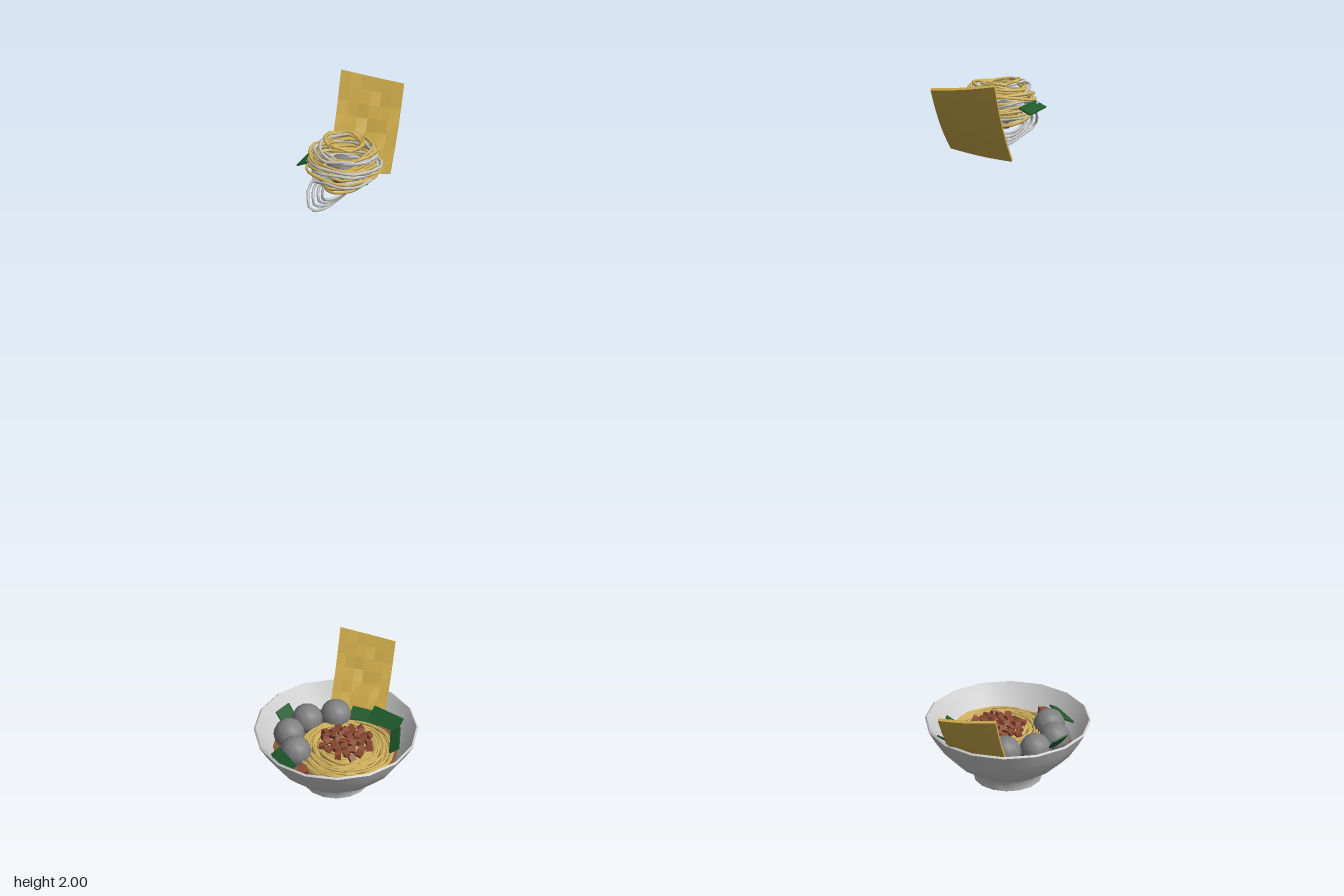
import * as THREE from 'three';
import { toCreasedNormals } from 'three/addons/utils/BufferGeometryUtils.js';

const mat = (color, extra = {}) => new THREE.MeshStandardMaterial({ color, ...extra });
const grey = mat(0xcccccc);
const darkGrey = mat(0x808080);
const noodleYellow = mat(0xd8b860);
const crispYellow = mat(0xcfac4a, { flatShading: true });
const leafGreen = mat(0x1f5a2c, { flatShading: true });
const meatBrown = mat(0x8c4a34, { flatShading: true });
const brothBrown = mat(0x8a5a3c);

// Seeded generator so every strand is repeatable
let seed = 7;
const rnd = (a = 0, b = 1) => {
  seed = (seed * 16807) % 2147483647;
  return a + (b - a) * (seed / 2147483647);
};

function add(parent, name, geometry, material, pos = [0, 0, 0], rot = [0, 0, 0]) {
  const mesh = new THREE.Mesh(geometry, material);
  mesh.name = name;
  mesh.position.set(...pos);
  mesh.rotation.set(...rot);
  parent.add(mesh);
  return mesh;
}

// One coiled noodle: a wobbling loop with an optional tilt and radius change
function strand(parent, name, material, o) {
  const pts = [];
  const start = rnd(0, Math.PI * 2);
  const tiltDir = rnd(0, Math.PI * 2);
  const steps = Math.round(o.turns * 12);
  for (let i = 0; i <= steps; i++) {
    const t = i / steps;
    const a = start + t * o.turns * Math.PI * 2;
    const r = (o.r0 + (o.r1 - o.r0) * t) * rnd(0.95, 1.05);
    const y = o.y + Math.sin(a + tiltDir) * o.tilt + rnd(-1, 1) * o.wobble;
    pts.push(new THREE.Vector3(o.x + Math.cos(a) * r, y, o.z + Math.sin(a) * r));
  }
  const curve = new THREE.CatmullRomCurve3(pts);
  add(parent, name, new THREE.TubeGeometry(curve, steps * 2, 0.0037, 5), material);
}

// Bowl with foot ring, flared wall and inner lining
function bowl() {
  const profile = [
    [0, 0.015], [0.08, 0.015], [0.086, 0.003], [0.095, 0.003], [0.097, 0.027], [0.112, 0.04],
    [0.15, 0.066], [0.183, 0.1], [0.208, 0.138], [0.228, 0.174], [0.223, 0.178],
    [0.2, 0.146], [0.175, 0.112], [0.14, 0.078], [0.09, 0.052], [0, 0.045],
  ].map(([x, y]) => new THREE.Vector2(x, y));
  return toCreasedNormals(new THREE.LatheGeometry(profile, 16), 0.9);
}

// Crisp sheet stretched between four corners, bowed and blistered on its face
function crispSheet() {
  const v = (x, y, z) => new THREE.Vector3(x, y, z);
  const tl = v(0.018, 0.315, -0.256), tr = v(0.172, 0.295, -0.212);
  const bl = v(-0.018, 0.1, -0.125), br = v(0.135, 0.118, -0.072);
  const normal = tr.clone().sub(tl).cross(tl.clone().sub(bl)).normalize();
  const geo = new THREE.BoxGeometry(1, 1, 1, 6, 7, 1);
  const p = geo.attributes.position;
  for (let i = 0; i < p.count; i++) {
    const u = p.getX(i) + 0.5, w = p.getY(i) + 0.5, front = p.getZ(i) > 0;
    const q = bl.clone().lerp(br, u).lerp(tl.clone().lerp(tr, u), w);
    const inside = Math.sin(Math.PI * u) * Math.sin(Math.PI * w);
    const blister = front ? inside * 0.006 * Math.sin(u * 11 + w * 4) * Math.sin(w * 13 - u * 3) : 0;
    const bow = -0.012 * Math.sin(Math.PI * w) - 0.004 * Math.sin(Math.PI * u);
    q.addScaledVector(normal, bow + blister + (front ? 0.004 : -0.004));
    p.setXYZ(i, q.x, q.y, q.z);
  }
  geo.computeVertexNormals();
  return geo;
}

export function createModel() {
  const model = new THREE.Group();
  model.name = 'noodleBowl';

  // Bowl and broth
  const dish = new THREE.Group();
  dish.name = 'dish';
  dish.position.z = 0.029;
  add(dish, 'bowl', bowl(), grey);
  add(dish, 'broth', new THREE.CircleGeometry(0.176, 16), brothBrown, [0, 0.113, 0], [-Math.PI / 2, 0, 0]);
  model.add(dish);

  // Noodles lying in the broth, piled higher towards the middle
  const noodles = new THREE.Group();
  noodles.name = 'bowlNoodles';
  for (let i = 0; i < 24; i++) {
    const r = 0.03 + 0.104 * (i / 23);
    strand(noodles, 'bowlNoodle', noodleYellow, {
      x: 0.024 + rnd(-0.006, 0.006), z: 0.058 + rnd(-0.006, 0.006),
      y: 0.138 - 0.016 * (i / 23), r0: r, r1: r * rnd(0.85, 1),
      turns: rnd(1.4, 2.2), tilt: 0.004, wobble: 0.003,
    });
  }
  model.add(noodles);

  // Meatballs along the back left of the bowl
  const ball = new THREE.SphereGeometry(0.044, 10, 8);
  for (const [x, z] of [[-0.13, 0], [-0.079, -0.066], [0.001, -0.086], [-0.112, 0.08]]) {
    add(model, 'meatball', ball, darkGrey, [x, 0.136, z]);
  }

  // Diced meat heaped in the middle, and one loose piece
  const cube = new THREE.BoxGeometry(0.017, 0.015, 0.017);
  for (let i = 0; i < 34; i++) {
    const a = i * 2.4, r = 0.075 * Math.sqrt((i + 0.5) / 34);
    add(model, 'dicedMeat', cube, meatBrown,
      [0.03 + r * Math.cos(a), 0.154 - r * 0.16, 0.05 + r * Math.sin(a)],
      [rnd(-0.6, 0.6), rnd(0, 3), rnd(-0.6, 0.6)]);
  }
  add(model, 'dicedMeat', new THREE.BoxGeometry(0.026, 0.026, 0.026), meatBrown, [-0.092, 0.128, 0.162], [0.2, 0.2, 0.1]);

  // Green leaves around the rim: position, length, width, heading, tilt
  const leaves = [
    [-0.146, 0.142, 0.128, 0.095, 0.035, 0.48, 0.5],
    [0.163, 0.14, 0.041, 0.095, 0.032, -0.08, 0.6],
    [0.14, 0.14, -0.055, 0.1, 0.045, 0.9, 0.7],
    [0.085, 0.13, -0.085, 0.09, 0.04, 1.15, 0.5],
    [-0.138, 0.155, -0.062, 0.055, 0.045, -0.7, -0.9],
  ];
  for (const [x, y, z, len, width, heading, tilt] of leaves) {
    const leaf = add(model, 'leaf', new THREE.BoxGeometry(width, 0.004, len), leafGreen, [x, y, z]);
    leaf.rotation.set(0, heading, tilt, 'YXZ');
  }

  // Crisp sheet in the bowl and its lifted twin
  const sheet = crispSheet();
  add(model, 'crispSheet', sheet, crispYellow);
  add(model, 'liftedCrispSheet', sheet, crispYellow, [0, 1.685, 0]);

  // Lifted nest: flattened ball of yellow and pale strands
  const nest = new THREE.Group();
  nest.name = 'liftedNest';
  for (let i = 0; i < 20; i++) {
    const h = (i % 10) / 9 * 2 - 1;
    const r = 0.03 + 0.058 * Math.sqrt(1 - h * h * 0.9);
    const pale = i % 3 === 2;
    strand(nest, pale ? 'paleNoodle' : 'nestNoodle', pale ? grey : noodleYellow, {
      x: 0.018 + rnd(-0.007, 0.007), z: (pale ? 0.066 : 0.052) + rnd(-0.007, 0.007),
      y: 1.89 + h * 0.05, r0: r, r1: r * rnd(0.7, 1),
      turns: rnd(1, 1.7), tilt: rnd(0.004, 0.014), wobble: 0.005,
    });
  }
  // Pale loops drooping below the front of the nest
  for (let i = 0; i < 4; i++) {
    const pts = [
      [-0.06 + i * 0.012, 1.86, 0.1], [-0.065 + i * 0.01, 1.812 + i * 0.007, 0.145 - i * 0.012],
      [-0.03, 1.79 + i * 0.008, 0.1], [0.005, 1.784 + i * 0.007, 0.035 + i * 0.01],
      [0.035, 1.8 + i * 0.007, 0.01 + i * 0.01], [0.055, 1.85, 0.04], [0.03, 1.875, 0.1],
    ].map((q) => new THREE.Vector3(...q));
    const curve = new THREE.CatmullRomCurve3(pts, true);
    add(nest, 'droopingNoodle', new THREE.TubeGeometry(curve, 22, 0.0037, 5, true), grey);
  }
  add(nest, 'nestMeatball', new THREE.SphereGeometry(0.036, 10, 8), darkGrey, [0.01, 1.862, 0.03]);
  add(nest, 'nestLeaf', new THREE.BoxGeometry(0.035, 0.004, 0.092), leafGreen, [-0.062, 1.885, 0.008], [0, -0.4, 0.4]);
  add(nest, 'nestLeaf', new THREE.BoxGeometry(0.02, 0.004, 0.05), leafGreen, [0.025, 1.86, 0.07], [0.2, -0.4, 0.9]);
  for (const [x, z] of [[0.07, -0.02], [0.08, 0.036], [0.0, 0.08]]) {
    add(nest, 'nestDicedMeat', cube, meatBrown, [x, 1.875, z], [0.3, 0.6, 0.2]);
  }
  model.add(nest);
  return model;
}
